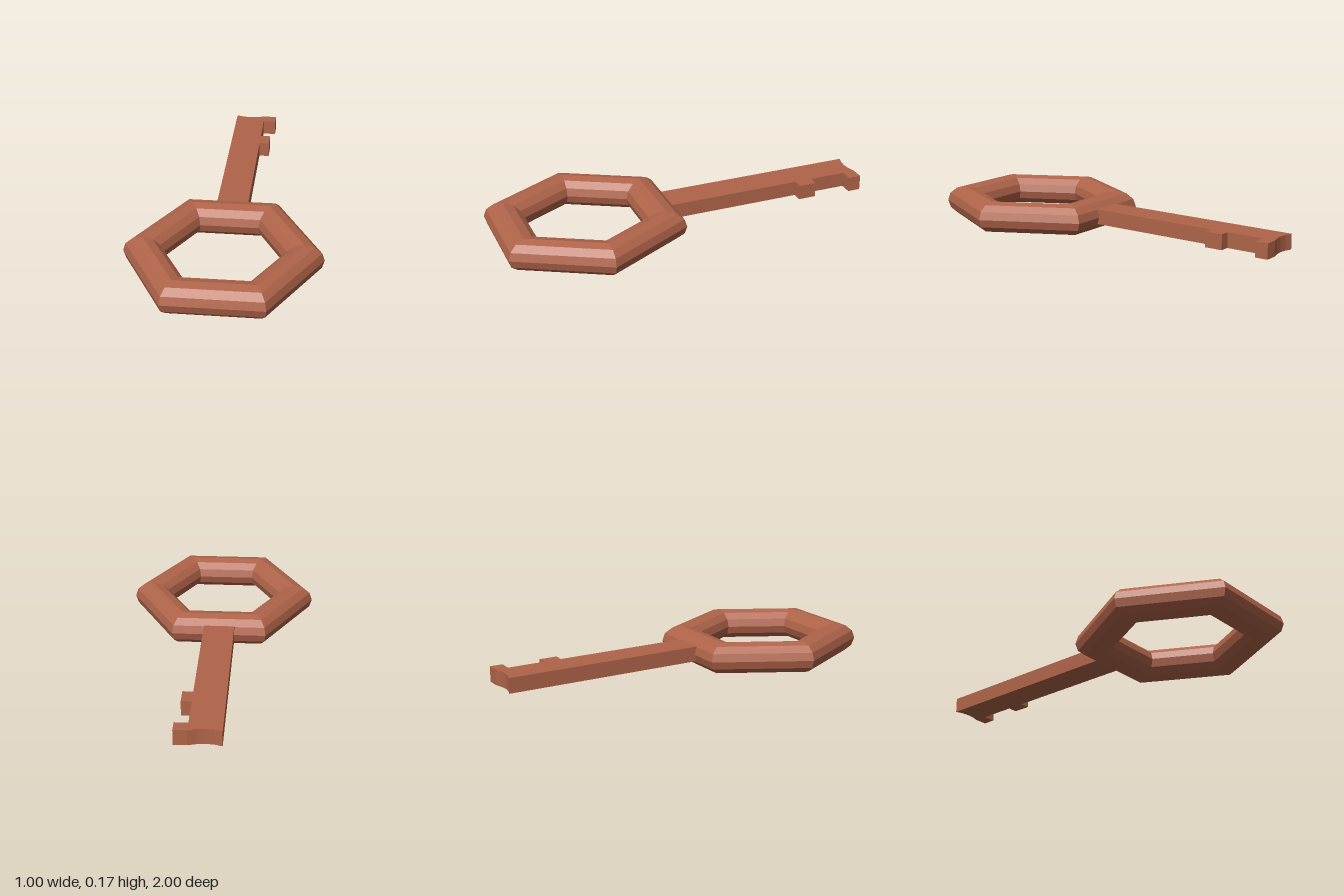
import * as THREE from 'three';

export function createModel() {
  const group = new THREE.Group();
  const copper = new THREE.MeshStandardMaterial({ color: 0xb0644a, flatShading: true });
  copper.name = 'copper';

  // Hexagonal ring handle, slightly flattened and stretched lengthwise
  const ringGeometry = new THREE.TorusGeometry(0.4, 0.1, 12, 6);
  ringGeometry.rotateX(Math.PI / 2);
  ringGeometry.scale(1, 0.825, 1.085);
  const ring = new THREE.Mesh(ringGeometry, copper);
  ring.name = 'ringHandle';
  ring.position.set(0, 0.083, 0.53);
  group.add(ring);

  // Flat shaft with two teeth and a hollowed tip, outlined as (x, z)
  const outline = [
    [-0.083, 0.1], [0.08, 0.1],
    [0.08, -0.64], [0.133, -0.64], [0.133, -0.735], [0.08, -0.735],
    [0.08, -0.932], [0.148, -0.932], [0.148, -1],
    [0.08, -1], [0.035, -0.987], [-0.005, -0.983], [-0.045, -0.987], [-0.083, -1],
  ];
  const shape = new THREE.Shape(outline.map(([x, z]) => new THREE.Vector2(x, -z)));
  const shaftGeometry = new THREE.ExtrudeGeometry(shape, { depth: 0.08, bevelEnabled: false });
  shaftGeometry.rotateX(-Math.PI / 2);
  const shaft = new THREE.Mesh(shaftGeometry, copper);
  shaft.name = 'toothedShaft';
  shaft.position.y = 0.047;
  group.add(shaft);

  return group;
}
